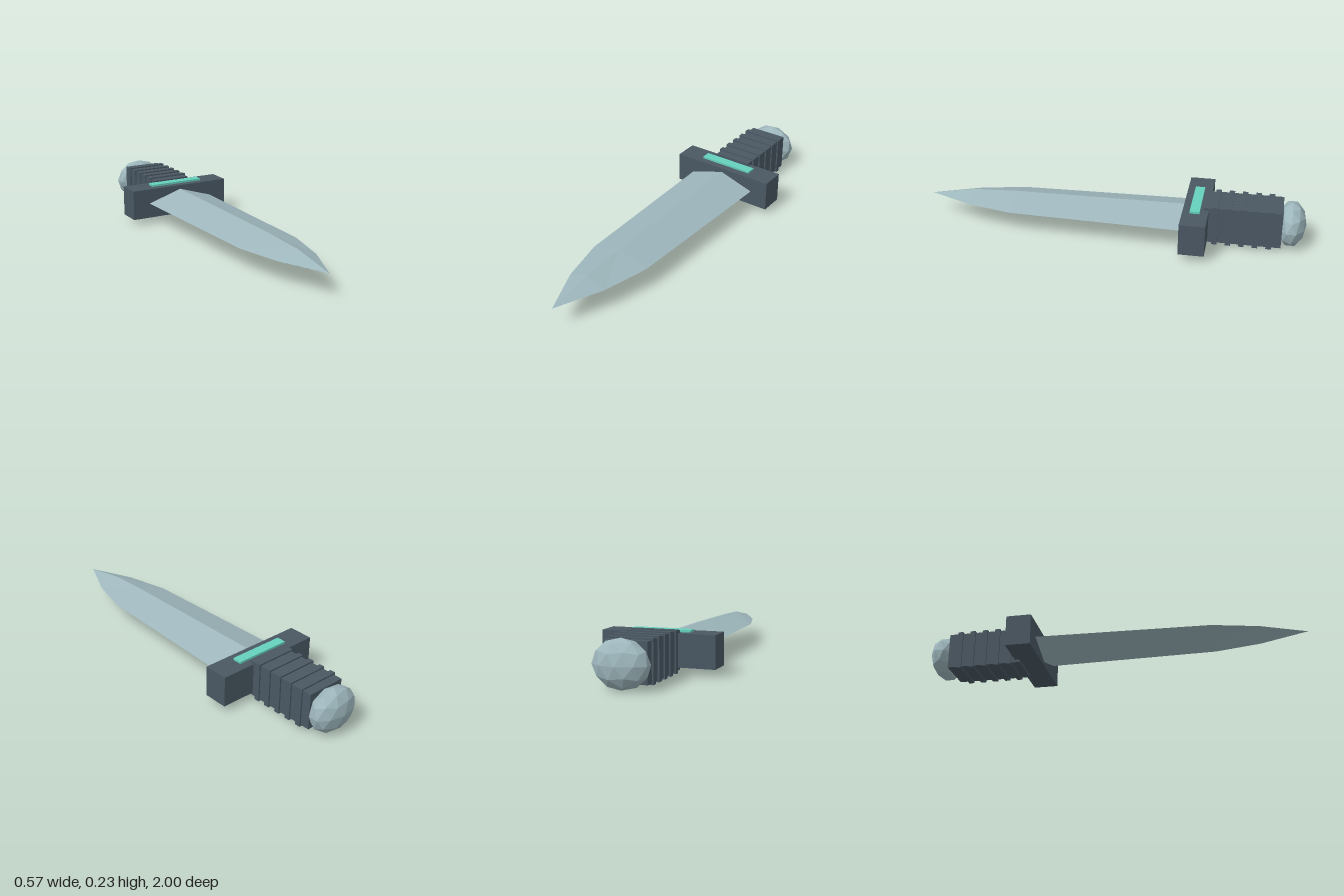
import * as THREE from 'three';

const MID = 0.116; // height of the dagger's long axis

export function createModel() {
  const group = new THREE.Group();
  const steel = new THREE.MeshStandardMaterial({ name: 'pale steel', color: 0x9db6bc, flatShading: true });
  const dark = new THREE.MeshStandardMaterial({ name: 'dark slate', color: 0x4a5863, flatShading: true });
  const teal = new THREE.MeshStandardMaterial({ name: 'teal inlay', color: 0x66d0bd, flatShading: true });

  const add = (name, geometry, material, y, z) => {
    const mesh = new THREE.Mesh(geometry, material);
    mesh.name = name;
    mesh.position.set(0, y, z);
    group.add(mesh);
    return mesh;
  };
  const box = (name, w, h, d, material, y, z) =>
    add(name, new THREE.BoxGeometry(w, h, d), material, y, z);

  // Blade: diamond sections [z, half width, half height] tapering to a point
  add('blade', bladeGeometry([
    [-0.4, 0.191, 0.06], [0.52, 0.162, 0.051], [0.76, 0.105, 0.041], [1, 0, 0],
  ]), steel, MID, 0);

  // Crossguard with its inlay strip on top
  box('crossguard', 0.574, 0.162, 0.13, dark, MID, -0.445);
  box('guardInlay', 0.3, 0.022, 0.05, teal, 0.197, -0.443);

  // Grip core and raised bands
  box('grip', 0.206, 0.19, 0.394, dark, MID, -0.683);
  for (let i = 0; i < 5; i++) {
    box('gripBand' + (i + 1), 0.222, 0.206, 0.028, dark, MID, -0.545 - i * 0.0685);
  }

  // Faceted pommel, one pole up, flattened along the grip
  const ball = new THREE.IcosahedronGeometry(1, 1);
  ball.rotateX(-Math.atan((1 + Math.sqrt(5)) / 2));
  ball.rotateY(Math.PI / 2);
  ball.scale(0.136, 0.115, 0.075);
  add('pommel', ball, steel, 0.115, -0.925);

  return group;
}

// Lofts diamond cross-sections along z and closes the guard end
function bladeGeometry(sections) {
  const corners = [[1, 0], [0, 1], [-1, 0], [0, -1]];
  const point = ([z, w, h], k) => [corners[k % 4][0] * w, corners[k % 4][1] * h, z];
  const positions = [];
  for (let i = 0; i < sections.length - 1; i++) {
    const a = sections[i], b = sections[i + 1];
    for (let k = 0; k < 4; k++) {
      positions.push(...point(a, k), ...point(a, k + 1), ...point(b, k));
      if (b[1] > 0) positions.push(...point(a, k + 1), ...point(b, k + 1), ...point(b, k));
    }
  }
  const base = sections[0];
  for (const k of [0, 2]) {
    positions.push(...point(base, k), ...point(base, k + 3), ...point(base, k + 1));
  }
  const geometry = new THREE.BufferGeometry();
  geometry.setAttribute('position', new THREE.Float32BufferAttribute(positions, 3));
  geometry.computeVertexNormals();
  return geometry;
}
